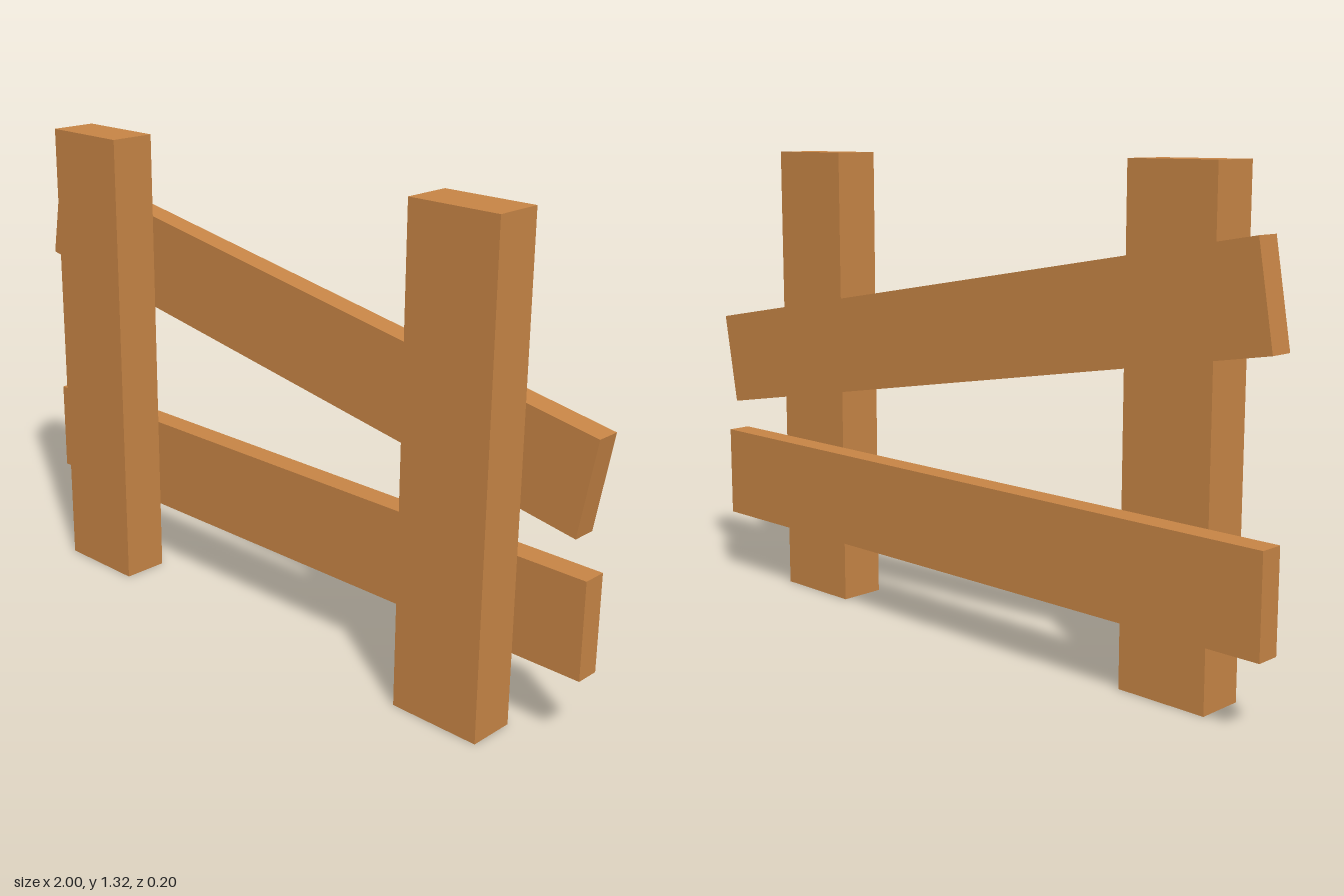
import * as THREE from 'three';

export function createModel() {
  const group = new THREE.Group();
  const wood = new THREE.MeshStandardMaterial({ color: 0xc68445 });
  wood.name = 'wood';

  const addPlank = (name, size, position, tilt = 0) => {
    const plank = new THREE.Mesh(new THREE.BoxGeometry(...size), wood);
    plank.name = name;
    plank.position.set(...position);
    plank.rotation.z = tilt;
    group.add(plank);
  };

  // Upright posts at the front
  for (const side of [-1, 1]) {
    addPlank(side > 0 ? 'leftPost' : 'rightPost', [0.264, 1.323, 0.133], [side * 0.661, 0.6615, 0.0335]);
  }

  // Rails fixed behind the posts, the upper one hanging crooked
  const railSize = [1.984, 0.264, 0.067];
  addPlank('lowerRail', railSize, [0, 0.333, -0.0665]);
  addPlank('upperRail', railSize, [0, 0.8625, -0.0665], -THREE.MathUtils.degToRad(10));

  return group;
}
